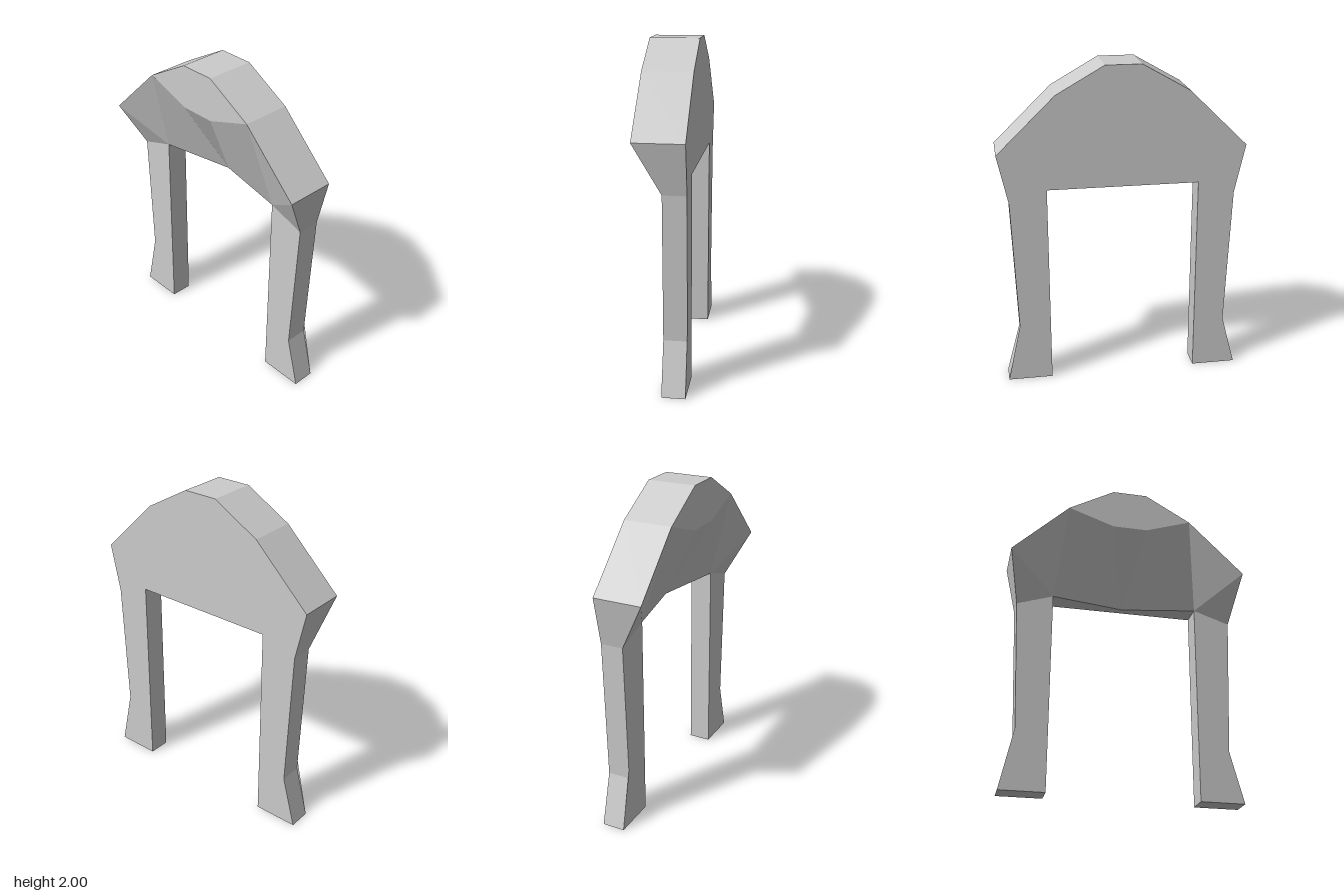
import * as THREE from 'three';

const BACK = -0.15;

// Corners of one half, from the crown down the outside and back up the inside
const P = {
  crown: [0.11, 2, 0.15],
  haunch: [0.40, 1.835, 0.15],
  shoulder: [0.755, 1.49, 0.15],
  legTop: [0.69, 1.19, -0.01],
  ankle: [0.655, 0.32, -0.01],
  toe: [0.74, 0, -0.01],
  heel: [0.463, 0, -0.01],
  spring: [0.463, 1.265, -0.01],
  middle: [0, 1.265, -0.1],
  brow: [0.11, 1.735, 0.15],
};
const mirror = ([x, y, z]) => [-x, y, z];
const toBack = ([x, y]) => [x, y, BACK];

// Flat polygons as fans, each with one shared normal
function facesMesh(name, polygons) {
  const position = [], normal = [];
  for (const poly of polygons) {
    const v = poly.map((p) => new THREE.Vector3(...p));
    const n = new THREE.Vector3();
    v.forEach((a, i) => n.add(a.clone().cross(v[(i + 1) % v.length])));
    n.normalize();
    for (let i = 1; i < v.length - 1; i++) {
      for (const c of [v[0], v[i], v[i + 1]]) {
        position.push(c.x, c.y, c.z);
        normal.push(n.x, n.y, n.z);
      }
    }
  }
  const g = new THREE.BufferGeometry();
  g.setAttribute('position', new THREE.Float32BufferAttribute(position, 3));
  g.setAttribute('normal', new THREE.Float32BufferAttribute(normal, 3));
  const mesh = new THREE.Mesh(g, new THREE.MeshStandardMaterial({ color: 0xcccccc }));
  mesh.name = name;
  return mesh;
}

const mirrored = (polys) => polys.map((p) => p.map(mirror).reverse());
const backs = (polys) => polys.map((p) => p.map(toBack).reverse());
// Side walls running from front corners to the back, along a clockwise path
const walls = (path) => path.slice(1).map((q, i) => [path[i], q, toBack(q), toBack(path[i])]);

export function createModel() {
  const group = new THREE.Group();
  const { crown, haunch, shoulder, legTop, ankle, toe, heel, spring, middle, brow } = P;

  // Arch: sloping facets on each side
  const sideFront = [
    [brow, middle, spring, haunch],
    [haunch, spring, shoulder],
    [shoulder, spring, legTop],
  ];
  const side = [
    ...sideFront, ...backs(sideFront),
    ...walls([crown, haunch, shoulder, legTop]),
    ...walls([spring, middle]),
  ];

  // Arch: flat upper panel and central wedge
  const centreFront = [
    [crown, mirror(crown), mirror(haunch), mirror(brow), brow, haunch],
    [mirror(brow), middle, brow],
  ];
  const centre = [...centreFront, ...backs(centreFront), ...walls([mirror(crown), crown])];
  group.add(facesMesh('arch', [...centre, ...side, ...mirrored(side)]));

  // Legs with flared feet
  const legFront = [[heel, toe, ankle, legTop, spring]];
  const leg = [...legFront, ...backs(legFront), ...walls([legTop, ankle, toe, heel, spring])];
  group.add(facesMesh('leftLeg', leg), facesMesh('rightLeg', mirrored(leg)));

  return group;
}
